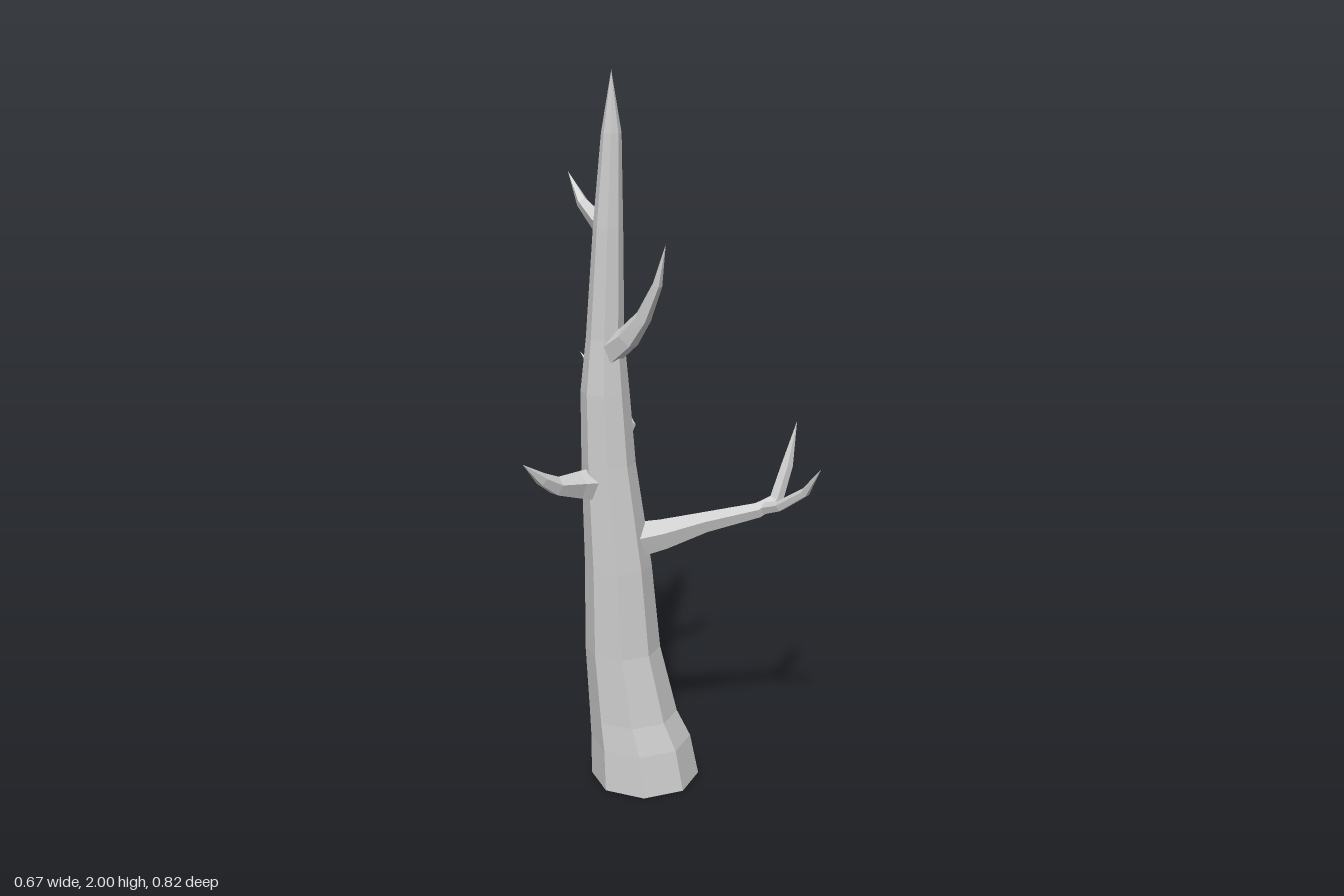
import * as THREE from 'three';

const material = new THREE.MeshStandardMaterial({ color: 0xcccccc, flatShading: true });

// Tapered limb: sections are [x, y, z, radius]; radius 0 closes it in a point.
// level keeps every ring horizontal, otherwise rings follow the path.
function limb(name, sections, sides, start, level = false) {
  const centres = sections.map(([x, y, z]) => new THREE.Vector3(x, y, z));
  const u = new THREE.Vector3(...start);
  const last = centres.length - 1;
  const positions = [];
  const index = [];
  centres.forEach((c, i) => {
    const t = level
      ? new THREE.Vector3(0, 1, 0)
      : centres[Math.min(i + 1, last)].clone().sub(centres[Math.max(i - 1, 0)]).normalize();
    u.addScaledVector(t, -u.dot(t)).normalize();
    const v = t.clone().cross(u);
    for (let j = 0; j < sides; j++) {
      const a = (j / sides) * Math.PI * 2;
      const r = sections[i][3];
      const p = c.clone().addScaledVector(u, r * Math.cos(a)).addScaledVector(v, r * Math.sin(a));
      positions.push(p.x, p.y, p.z);
    }
  });
  for (let i = 0; i < last; i++) {
    for (let j = 0; j < sides; j++) {
      const k = (j + 1) % sides;
      const a = i * sides + j, b = i * sides + k;
      index.push(a, b, b + sides);
      if (sections[i + 1][3] > 0) index.push(a, b + sides, a + sides);
    }
  }
  // Base cap
  for (let j = 1; j < sides - 1; j++) index.push(0, j + 1, j);

  const geometry = new THREE.BufferGeometry();
  geometry.setAttribute('position', new THREE.Float32BufferAttribute(positions, 3));
  geometry.setIndex(index);
  const flat = geometry.toNonIndexed();
  flat.computeVertexNormals();
  const mesh = new THREE.Mesh(flat, material);
  mesh.name = name;
  return mesh;
}

export function createModel() {
  const tree = new THREE.Group();
  tree.name = 'deadTree';

  // Trunk: flared foot, slight lean, pointed top
  tree.add(limb('trunk', [
    [0.016, 0, -0.049, 0.156],
    [0.01, 0.12, -0.06, 0.144],
    [-0.004, 0.2, -0.076, 0.126],
    [-0.021, 0.4, -0.1, 0.107],
    [-0.03, 0.65, -0.107, 0.094],
    [-0.045, 0.95, -0.127, 0.075],
    [-0.048, 1.15, -0.135, 0.067],
    [-0.048, 1.3, -0.133, 0.052],
    [-0.041, 1.6, -0.125, 0.04],
    [-0.032, 1.84, -0.119, 0.027],
    [-0.035, 2, -0.115, 0],
  ], 8, [0.99, 0, 0.13], true));

  // Branches and their side twigs
  const branches = {
    lowerFrontBranch: [
      [-0.01, 0.715, -0.09, 0.055], [0.05, 0.74, -0.005, 0.044], [0.12, 0.775, 0.085, 0.03],
      [0.21, 0.81, 0.2, 0.022], [0.255, 0.835, 0.23, 0.021], [0.295, 0.93, 0.238, 0.017],
      [0.33, 1.05, 0.245, 0],
    ],
    lowerFrontTwig: [
      [0.22, 0.81, 0.2, 0.018], [0.212, 0.835, 0.27, 0.016], [0.215, 0.89, 0.35, 0.013],
      [0.2, 0.97, 0.408, 0],
    ],
    rightBranch: [
      [-0.07, 0.89, -0.14, 0.052], [-0.14, 0.9, -0.158, 0.04], [-0.22, 0.915, -0.165, 0.027],
      [-0.27, 0.945, -0.17, 0.019], [-0.335, 1, -0.178, 0],
    ],
    backBranch: [
      [0, 1.03, -0.13, 0.052], [0.06, 1.06, -0.2, 0.042], [0.16, 1.115, -0.3, 0.027],
      [0.215, 1.16, -0.35, 0.02], [0.255, 1.23, -0.39, 0],
    ],
    backTwig: [
      [0.155, 1.11, -0.305, 0.015], [0.166, 1.14, -0.36, 0.012], [0.165, 1.19, -0.41, 0],
    ],
    upperFrontBranch: [
      [-0.055, 1.265, -0.11, 0.04], [-0.053, 1.31, -0.05, 0.034], [-0.05, 1.37, 0, 0.023],
      [-0.048, 1.46, 0.045, 0.014], [-0.05, 1.57, 0.075, 0],
    ],
    upperBackBranch: [
      [-0.03, 1.59, -0.13, 0.032], [-0.015, 1.605, -0.18, 0.026], [0, 1.65, -0.25, 0.017],
      [0, 1.73, -0.3, 0],
    ],
  };
  for (const [name, sections] of Object.entries(branches)) {
    tree.add(limb(name, sections, 5, [0, 1, 0]));
  }
  return tree;
}
